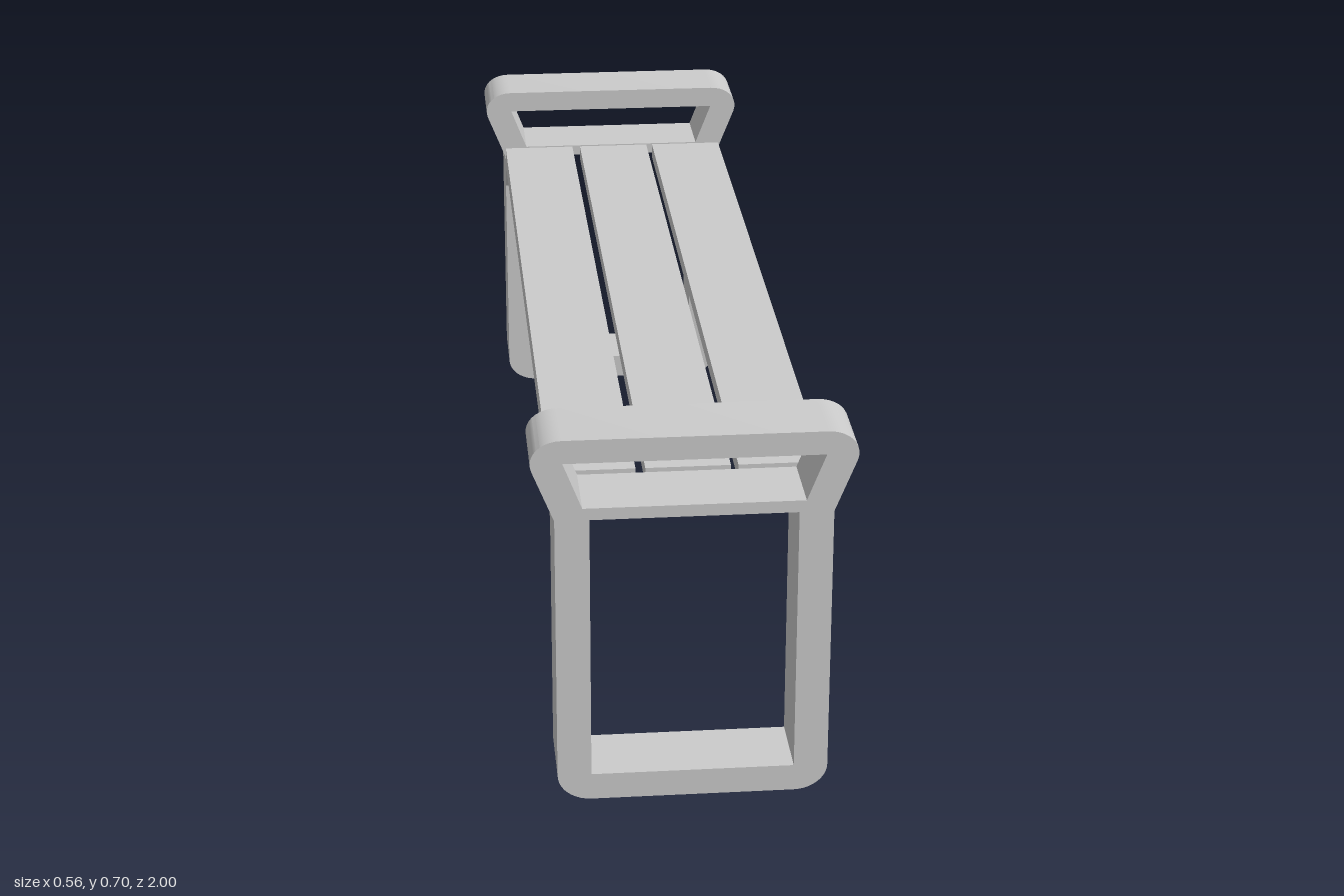
import * as THREE from 'three';
import { toCreasedNormals } from 'three/addons/utils/BufferGeometryUtils.js';

const END = 1, INNER = 0.865;   // outer and inner faces of the end frames along z
const material = new THREE.MeshStandardMaterial({ color: 0xcccccc });

function addMesh(group, name, geometry) {
  const mesh = new THREE.Mesh(geometry, material);
  mesh.name = name;
  group.add(mesh);
  return mesh;
}

const polygon = (points, Type = THREE.Path) =>
  new Type(points.map(([x, y]) => new THREE.Vector2(x, y)));

// Leg loop flaring into the armrest loop
function frameShape() {
  const s = new THREE.Shape();
  s.moveTo(-0.18, 0);
  s.lineTo(0.18, 0);
  s.bezierCurveTo(0.213, 0, 0.24, 0.022, 0.24, 0.05);
  s.lineTo(0.24, 0.55);
  s.lineTo(0.25, 0.575);
  s.lineTo(0.278, 0.645);
  s.bezierCurveTo(0.288, 0.675, 0.262, 0.7, 0.226, 0.7);
  s.lineTo(-0.226, 0.7);
  s.bezierCurveTo(-0.262, 0.7, -0.288, 0.675, -0.278, 0.645);
  s.lineTo(-0.25, 0.575);
  s.lineTo(-0.24, 0.55);
  s.lineTo(-0.24, 0.05);
  s.bezierCurveTo(-0.24, 0.022, -0.213, 0, -0.18, 0);
  s.holes.push(
    polygon([[-0.18, 0.05], [-0.18, 0.55], [0.18, 0.55], [0.18, 0.05]]),
    polygon([[-0.192, 0.572], [-0.225, 0.657], [0.225, 0.657], [0.192, 0.572]])
  );
  return s;
}

export function createModel() {
  const bench = new THREE.Group();
  bench.name = 'bench';

  // End frames
  const frameGeometry = toCreasedNormals(new THREE.ExtrudeGeometry(frameShape(), {
    depth: END - INNER, bevelEnabled: false, curveSegments: 10
  }), 0.35);
  addMesh(bench, 'frontFrame', frameGeometry).position.z = INNER;
  addMesh(bench, 'backFrame', frameGeometry).position.z = -END;

  // Side rails with a sloped gusset at each end (profile in z, y)
  const railShape = polygon([
    [-INNER, 0.48], [-0.83, 0.535], [0.83, 0.535], [INNER, 0.48], [INNER, 0.55], [-INNER, 0.55]
  ], THREE.Shape);
  const railGeometry = new THREE.ExtrudeGeometry(railShape, { depth: 0.06, bevelEnabled: false });
  railGeometry.rotateY(-Math.PI / 2);   // extrusion now runs towards -x
  addMesh(bench, 'leftRail', railGeometry).position.x = 0.24;
  addMesh(bench, 'rightRail', railGeometry).position.x = -0.18;

  // Seat planks, stopping short of the back frame
  const back = -0.835;
  [[-0.24, -0.09], [-0.073, 0.077], [0.09, 0.24]].forEach(([x0, x1], i) => {
    const plank = addMesh(bench, `seatPlank${i + 1}`, new THREE.BoxGeometry(x1 - x0, 0.03, INNER - back));
    plank.position.set((x0 + x1) / 2, 0.565, (INNER + back) / 2);
  });

  return bench;
}
